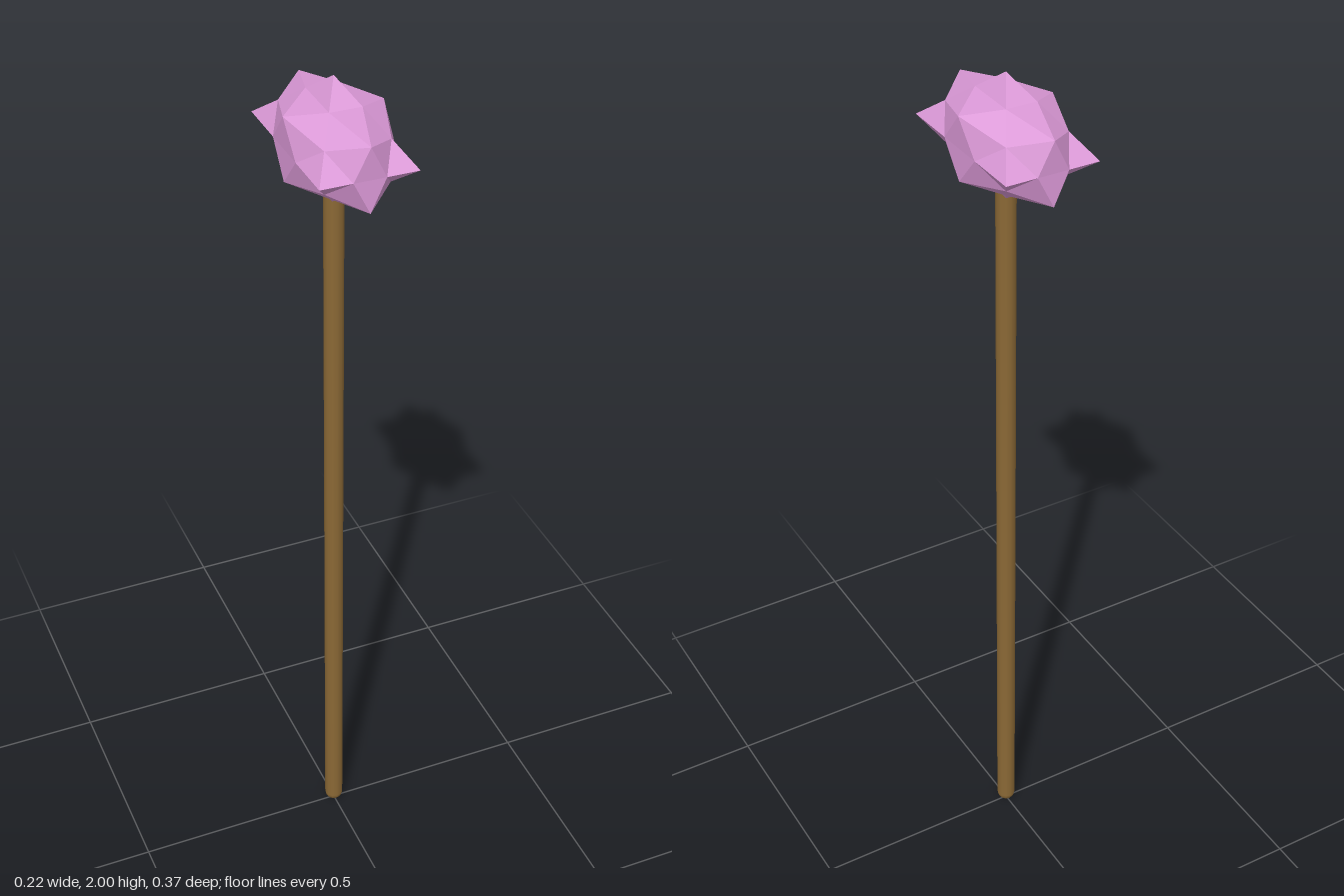
import * as THREE from 'three';

const crystal = new THREE.MeshStandardMaterial({ color: 0xda98d6 });
crystal.name = 'orchid crystal';
const wood = new THREE.MeshStandardMaterial({ color: 0x8a6835 });
wood.name = 'brown wood';

// Octahedron with each edge cut in thirds; the eight face centres are pulled out into points
function crystalGeometry() {
  const geometry = new THREE.OctahedronGeometry(1, 2);
  const position = geometry.attributes.position;
  const v = new THREE.Vector3();
  for (let i = 0; i < position.count; i++) {
    v.fromBufferAttribute(position, i);
    v.divideScalar(Math.abs(v.x) + Math.abs(v.y) + Math.abs(v.z));
    const isFaceCentre = Math.min(Math.abs(v.x), Math.abs(v.y), Math.abs(v.z)) > 0.1;
    if (isFaceCentre) v.multiplyScalar(1.525);
    position.setXYZ(i, v.x, v.y, v.z);
  }
  geometry.rotateY(Math.PI / 4);
  geometry.scale(0.15, 0.14, 0.259);
  const flat = geometry.index ? geometry.toNonIndexed() : geometry;
  flat.computeVertexNormals();
  return flat;
}

// Long rod with a rounded foot
function handleGeometry() {
  const r = 0.022;
  const profile = [];
  for (let i = 0; i <= 4; i++) {
    const a = (i / 4) * Math.PI / 2;
    profile.push(new THREE.Vector2(r * Math.sin(a), r * (1 - Math.cos(a))));
  }
  profile.push(new THREE.Vector2(r, 1.8), new THREE.Vector2(0, 1.8));
  return new THREE.LatheGeometry(profile, 12);
}

export function createModel() {
  const model = new THREE.Group();
  model.name = 'crystalMace';

  const head = new THREE.Mesh(crystalGeometry(), crystal);
  head.name = 'head';
  head.position.y = 1.86;

  const handle = new THREE.Mesh(handleGeometry(), wood);
  handle.name = 'handle';

  model.add(head, handle);
  return model;
}
